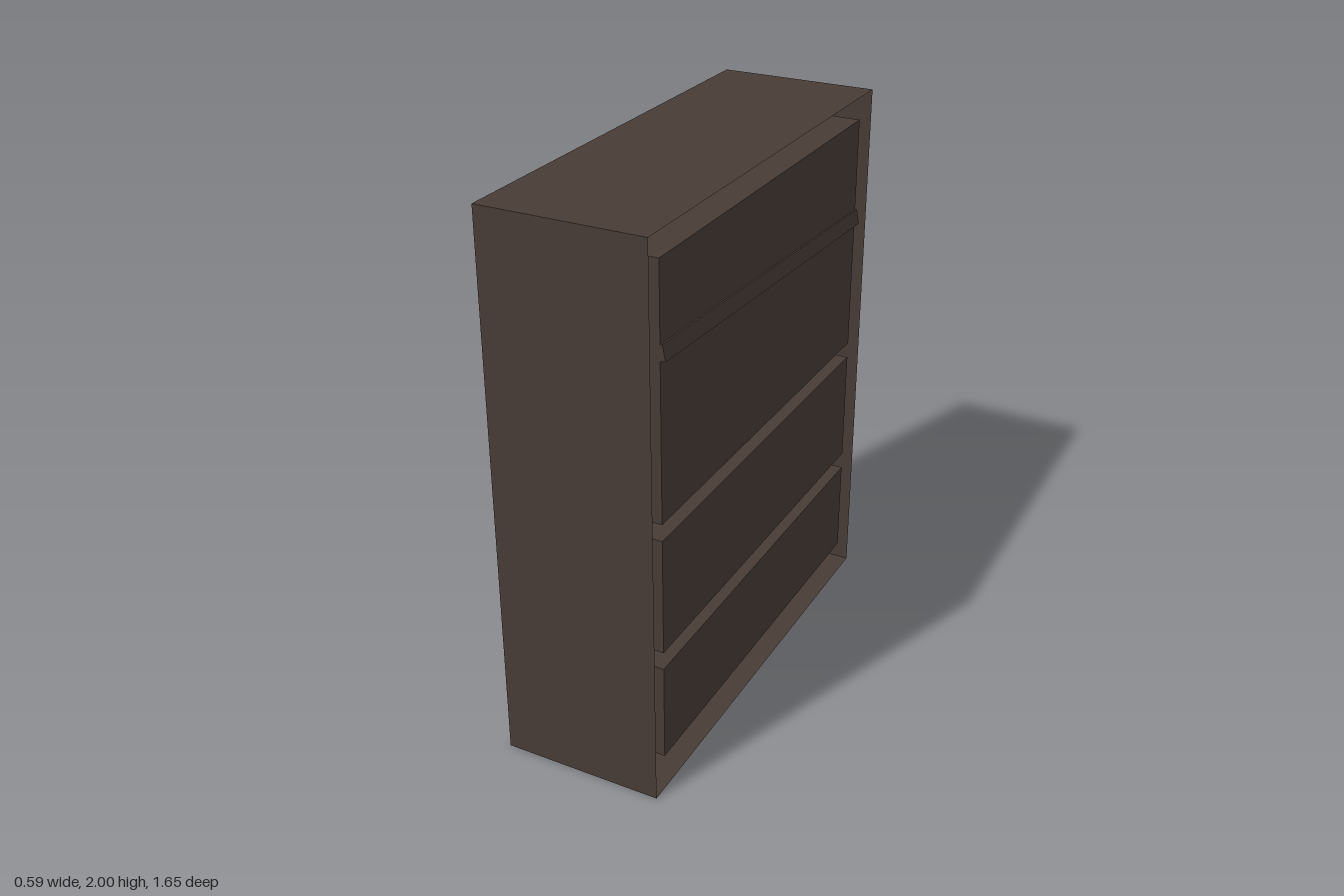
import * as THREE from 'three';

// Cabinet extents; the open shelving side faces -x, the rear (+x) is uncovered
const X0 = -0.297, X1 = 0.287, DEPTH = 0.825, HEIGHT = 2;
const POCKET_BACK = 0.277, Z0 = -0.74, Z1 = 0.747;
const POCKETS = [[0.12, 0.48], [0.545, 0.97], [1.03, 1.91]];

// Box between two corners, leaving out faces (0 px, 1 nx, 2 py, 3 ny, 4 pz, 5 nz)
function openBox(min, max, omit) {
  const g = new THREE.BoxGeometry(max[0] - min[0], max[1] - min[1], max[2] - min[2]);
  g.translate((min[0] + max[0]) / 2, (min[1] + max[1]) / 2, (min[2] + max[2]) / 2);
  const index = Array.from(g.index.array).filter((_, i) => !omit.includes(Math.floor(i / 6)));
  g.setIndex(index);
  g.clearGroups();
  return g;
}

function rectangle(path, a0, b0, a1, b1) {
  path.moveTo(a0, b0);
  path.lineTo(a1, b0);
  path.lineTo(a1, b1);
  path.lineTo(a0, b1);
  path.closePath();
  return path;
}

export function createModel() {
  const model = new THREE.Group();
  model.name = 'bookcase';
  const darkWood = new THREE.MeshStandardMaterial({ color: 0x473b35, side: THREE.DoubleSide });
  darkWood.name = 'darkWood';

  const add = (name, geometry) => {
    const mesh = new THREE.Mesh(geometry, darkWood);
    mesh.name = name;
    model.add(mesh);
    return mesh;
  };

  // Outer shell: top, bottom and two sides
  add('outerShell', openBox([X0, 0, -DEPTH], [X1, HEIGHT, DEPTH], [0, 1]));

  // Face frame with one opening per compartment
  const frame = rectangle(new THREE.Shape(), -DEPTH, 0, DEPTH, HEIGHT);
  for (const [y0, y1] of POCKETS) frame.holes.push(rectangle(new THREE.Path(), Z0, y0, Z1, y1));
  add('faceFrame', new THREE.ShapeGeometry(frame).rotateY(-Math.PI / 2).translate(X0, 0, 0));

  // Compartments, open towards the face frame
  POCKETS.forEach(([y0, y1], i) => {
    add(`compartment${i + 1}`, openBox([X0, y0, Z0], [POCKET_BACK, y1, Z1], [1]));
  });

  // Loose shelf, tipped back and sloping along its length
  const shelf = new THREE.BoxGeometry(0.588, 0.055, Z1 - Z0);
  shelf.rotateZ(0.188);
  const p = shelf.attributes.position;
  for (let i = 0; i < p.count; i++) p.setY(i, p.getY(i) + 0.0475 * p.getZ(i));
  shelf.translate(0.001, 1.527, (Z0 + Z1) / 2);
  shelf.computeVertexNormals();
  add('tiltedShelf', shelf);

  return model;
}
